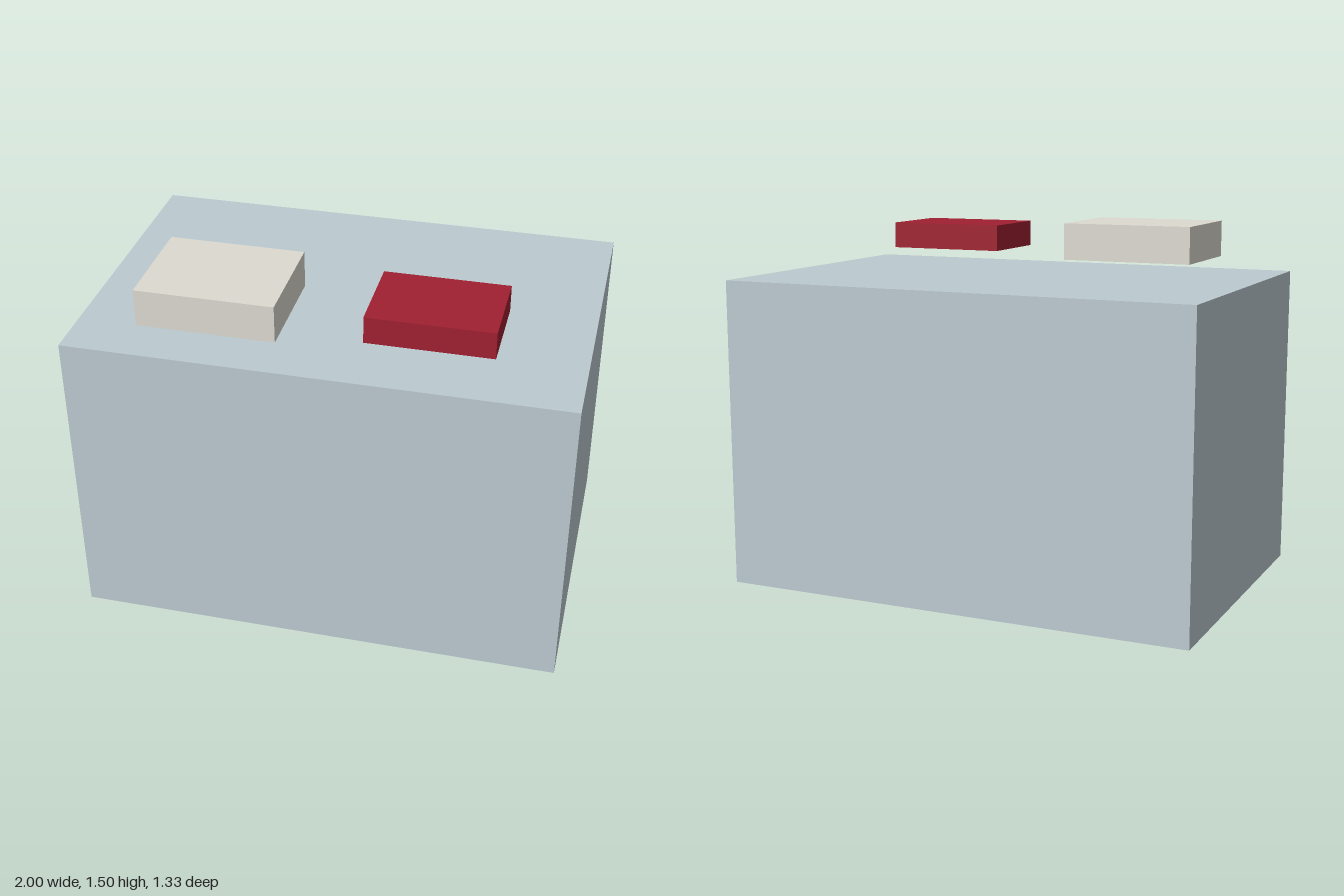
import * as THREE from 'three';

// Adds a named box, centred on (x, y, z)
function addBox(group, name, color, [w, h, d], [x, y, z]) {
  const mesh = new THREE.Mesh(
    new THREE.BoxGeometry(w, h, d),
    new THREE.MeshStandardMaterial({ color })
  );
  mesh.name = name;
  mesh.position.set(x, y, z);
  group.add(mesh);
}

export function createModel() {
  const model = new THREE.Group();
  model.name = 'blockWithTopBoxes';

  // Large main block
  addBox(model, 'body', 0xbccad0, [2, 1.28, 1.333], [0, 0.64, 0]);

  // Two small boxes hovering above the front half of the top
  addBox(model, 'creamBox', 0xdcdad0, [0.553, 0.153, 0.444], [-0.444, 1.42, 0.333]);
  addBox(model, 'redBox', 0xa02030, [0.5, 0.11, 0.36], [0.414, 1.42, 0.333]);

  return model;
}
